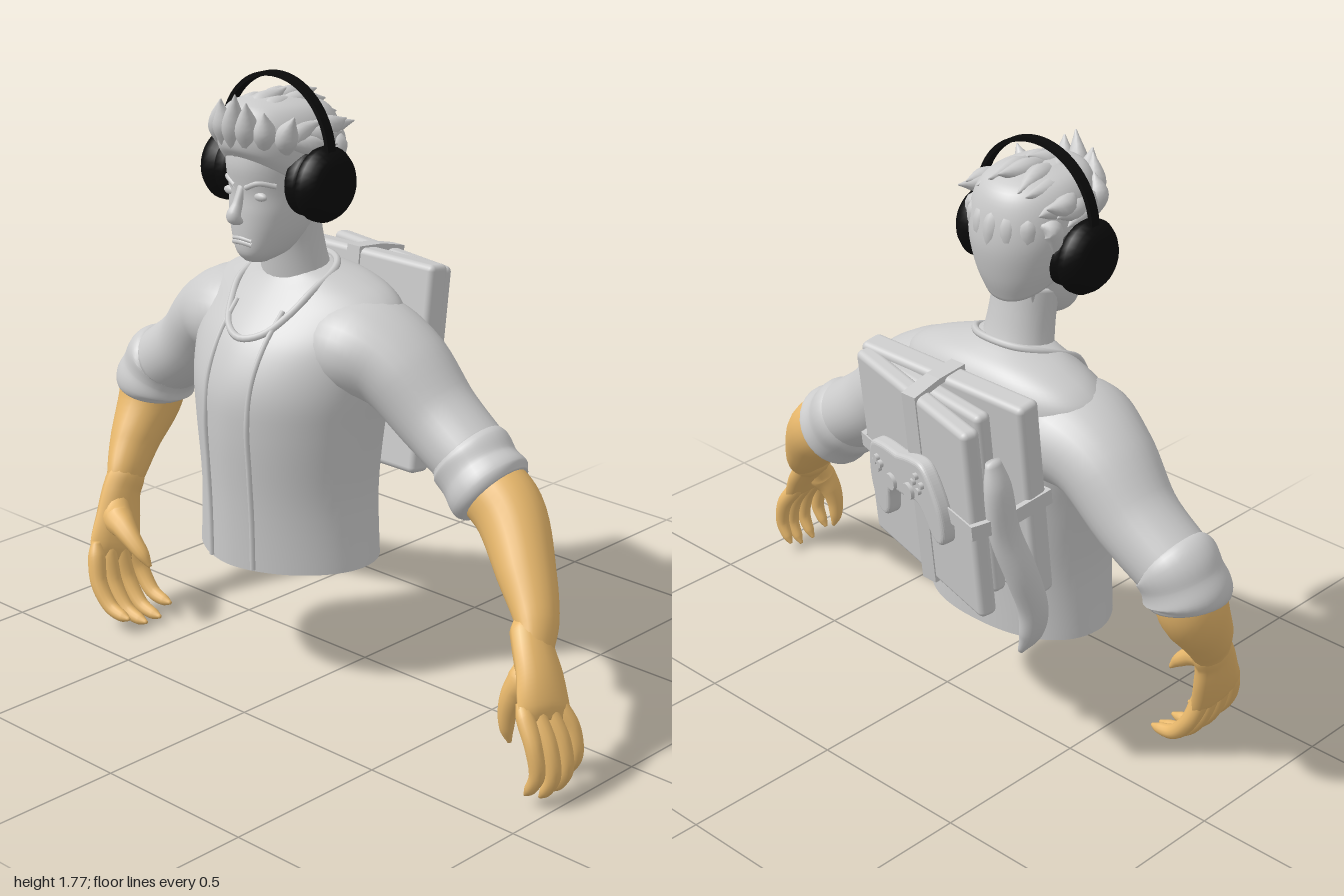
import * as THREE from 'three';
import { RoundedBoxGeometry } from 'three/addons/geometries/RoundedBoxGeometry.js';

const material = (color) => new THREE.MeshStandardMaterial({ color, side: THREE.DoubleSide });
const grey = material(0xcccccc), skin = material(0xe8b86c), black = material(0x0a0a0a);
const V = (x, y, z) => new THREE.Vector3(x, y, z);

function add(parent, name, geometry, mat = grey, x = 0, y = 0, z = 0) {
  const mesh = new THREE.Mesh(geometry, mat);
  mesh.name = name;
  mesh.position.set(x, y, z);
  parent.add(mesh);
  return mesh;
}

// Skin over rings of points that turn counter-clockwise about the direction of travel
function skinRings(rings) {
  const n = rings[0].length, index = [];
  for (let i = 0; i < rings.length - 1; i++) for (let j = 0; j < n; j++) {
    const a = i * n + j, b = i * n + (j + 1) % n;
    index.push(a, b, b + n, a, b + n, a + n);
  }
  const g = new THREE.BufferGeometry().setFromPoints(rings.flat());
  g.setIndex(index);
  g.computeVertexNormals();
  return g;
}

// Smooth limb through stations [x, y, z, radius across, radius along ref], closed at both ends
function limb(stations, ref = V(0, 0, 1), sides = 16, steps = 6) {
  const path = new THREE.CatmullRomCurve3(stations.map((s) => V(s[0], s[1], s[2])));
  const radii = new THREE.CatmullRomCurve3(stations.map((s) => V(s[3], s[4] ?? s[3], 0)), false, 'catmullrom');
  const total = (stations.length - 1) * steps, rings = [];
  const ring = (t, k) => {
    const c = path.getPoint(t), d = path.getTangent(t), r = radii.getPoint(t);
    const b = ref.clone().addScaledVector(d, -ref.dot(d)).normalize();
    const a = b.clone().cross(d);
    return Array.from({ length: sides }, (_, j) => {
      const u = j / sides * Math.PI * 2;
      return c.clone().addScaledVector(a, k * r.x * Math.cos(u)).addScaledVector(b, k * r.y * Math.sin(u));
    });
  };
  rings.push(ring(0, 0));
  for (let i = 0; i <= total; i++) rings.push(ring(i / total, 1));
  rings.push(ring(1, 0));
  return skinRings(rings);
}

// Upright form from rows [yFront, yBack, half width, zBack, zFront]; powers shape front and back halves
const bend = (v, p) => Math.sign(v) * Math.abs(v) ** p;
const middle = (zb, zf) => zb * 0.55 + zf * 0.45;
function rowAt(rows, k) {
  const i = Math.min(Math.floor(k), rows.length - 2), f = k - i;
  const p = rows[Math.max(i - 1, 0)], a = rows[i], b = rows[i + 1], q = rows[Math.min(i + 2, rows.length - 1)];
  return a.map((v, c) => v + 0.5 * f * (b[c] - p[c] + f * (2 * p[c] - 5 * v + 4 * b[c] - q[c] + f * (3 * (v - b[c]) + q[c] - p[c]))));
}
function upright(rows, front, back, closeBottom, sides = 64) {
  const rings = [], steps = 5, total = (rows.length - 1) * steps;
  const ring = (row, k) => {
    const [yf, yb, hw, zb, zf] = row, zm = middle(zb, zf);
    return Array.from({ length: sides }, (_, j) => {
      const u = j / sides * Math.PI * 2, power = j > sides / 2 ? front : back, s = -bend(Math.sin(u), power) * k;
      return V(hw * bend(Math.cos(u), power) * k, (yf + yb) / 2 + (yf - yb) / 2 * s, zm + s * (s > 0 ? zf - zm : zm - zb));
    });
  };
  if (closeBottom) rings.push(ring(rows[0], 0));
  for (let i = 0; i <= total; i++) rings.push(ring(rowAt(rows, i / steps), 1));
  rings.push(ring(rows[rows.length - 1], 0));
  return skinRings(rings);
}
// Depth of the front surface of such a form at x, y
function frontZ(rows, x, y, power) {
  let i = 0;
  while (i < rows.length - 2 && rows[i + 1][0] < y) i++;
  const [, , hw, zb, zf] = rowAt(rows, i + (y - rows[i][0]) / (rows[i + 1][0] - rows[i][0]));
  const zm = middle(zb, zf);
  return zm + (zf - zm) * Math.max(0, 1 - Math.abs(x / hw) ** (2 / power)) ** (power / 2);
}
const level = (y, ...rest) => [y, y, ...rest];
const tube = (points, r, closed = false) => new THREE.TubeGeometry(new THREE.CatmullRomCurve3(points, closed), 60, r, 8, closed);

const chestPower = 1.12, facePower = 0.9;
const torsoRows = [
  level(0.345, 0.297, -0.09, 0.36), level(0.55, 0.283, -0.1, 0.365), level(0.75, 0.302, -0.115, 0.375),
  level(0.88, 0.325, -0.13, 0.367), level(1.0, 0.345, -0.135, 0.315), level(1.09, 0.345, -0.13, 0.24),
  level(1.14, 0.3, -0.115, 0.195), level(1.175, 0.22, -0.09, 0.165), level(1.2, 0.13, -0.05, 0.15), level(1.212, 0.08, -0.02, 0.13),
];
const headRows = [
  level(1.238, 0.035, 0.2, 0.264), level(1.265, 0.068, 0.12, 0.286), level(1.32, 0.098, 0.06, 0.292),
  level(1.38, 0.114, 0.03, 0.293), level(1.44, 0.122, 0, 0.29), level(1.52, 0.128, -0.015, 0.3),
  level(1.6, 0.125, -0.01, 0.28), level(1.65, 0.08, 0.04, 0.23),
];
const hairRows = [
  [1.545, 1.33, 0.132, 0, 0.3], [1.57, 1.4, 0.152, -0.03, 0.318], [1.61, 1.5, 0.163, -0.05, 0.322],
  [1.65, 1.6, 0.152, -0.038, 0.31], [1.685, 1.66, 0.115, -0.005, 0.28], [1.7, 1.69, 0.05, 0.07, 0.21],
];

function buildTorso(body) {
  add(body, 'jacket', upright(torsoRows, chestPower, 0.88, false));
  const onChest = (x, y) => V(x, y, frontZ(torsoRows, x, y, chestPower) + 0.003);
  for (const s of [-1, 1]) {
    const ys = [0.35, 0.5, 0.65, 0.8, 0.92, 1.02, 1.1];
    add(body, 'jacketEdge', tube(ys.map((y) => onChest(s * (0.085 + 0.03 * Math.max(0, y - 0.85)), y)), 0.008));
  }
  // neckline loop lying on the chest
  const half = [[0.07, 1.04], [0.12, 1.1], [0.14, 1.15]].map(([x, y]) => onChest(x, y));
  half.push(V(0.125, 1.2, 0.04), V(0.06, 1.213, -0.015));
  const mirrored = half.map((p) => V(-p.x, p.y, p.z)).reverse();
  add(body, 'neckline', tube([onChest(0, 1.02), ...half, ...mirrored], 0.011, true));
}

function buildHead(body) {
  add(body, 'neck', limb([[0, 1.12, 0.06, 0.125, 0.1], [0, 1.2, 0.08, 0.108, 0.09], [0, 1.28, 0.095, 0.1, 0.086], [0, 1.36, 0.11, 0.1, 0.088]], undefined, 24));
  add(body, 'head', upright(headRows, facePower, facePower, true));
  add(body, 'nose', limb([[0, 1.46, 0.285, 0.012, 0.008], [0, 1.41, 0.302, 0.014, 0.015], [0, 1.377, 0.318, 0.022, 0.02], [0, 1.36, 0.302, 0.02, 0.012]]));
  const onFace = (x, y) => V(x, y, frontZ(headRows, x, y, facePower));
  for (const s of [-1, 1]) {
    const e = onFace(s * 0.058, 1.435);
    add(body, 'eye', new THREE.SphereGeometry(1, 16, 12), grey, e.x, e.y, e.z - 0.004).scale.set(0.026, 0.013, 0.012);
    add(body, 'eyebrow', tube([onFace(s * 0.022, 1.458), onFace(s * 0.06, 1.474), onFace(s * 0.095, 1.466)], 0.008));
  }
  for (const [y, r] of [[1.31, 0.006], [1.299, 0.008]])
    add(body, 'lip', tube([onFace(-0.036, y - 0.005), onFace(0, y), onFace(0.036, y - 0.005)], r));

  // hair cap with quiff rising from the forehead and swept locks
  add(body, 'hair', upright(hairRows, 0.95, 0.95, true));
  const lock = (a, b, c, r) => add(body, 'hairLock', limb([[...a, r * 0.2], [...b, r], [...c, 0.002]], V(1, 0, 0), 10, 5));
  for (let i = -3; i <= 3; i++) {
    const x = i * 0.042, drop = i * i * 0.008, w = 0.014 * Math.sin(i * 2.3 + 1), lean = 0.02 + w;
    lock([x - 0.01, 1.545, 0.295 - drop], [x * 1.05, 1.63 - drop / 3, 0.312 - drop], [x * 1.1 + lean, 1.715 - drop * 0.8 + w, 0.335 - drop * 1.2], 0.034);
    lock([x * 0.9, 1.65 - drop, 0.27 - drop], [x, 1.675 - drop, 0.2], [x * 1.1 + w, 1.7 - drop + w, 0.12], 0.036);
    lock([x * 0.8, 1.68 - drop, 0.2], [x, 1.68 - drop, 0.1], [x * 1.15 + w, 1.68 - drop + w, 0.0], 0.034);
    lock([x, 1.65 - drop, 0.02], [x * 1.1, 1.56, -0.022 + drop], [x * 1.15 + w, 1.45 - w, -0.03 + drop * 1.4], 0.032);
    if (Math.abs(i) < 3) lock([x, 1.53, 0], [x, 1.43, 0.002 + drop], [x * 0.9 - w, 1.34 - w, 0.012 + drop], 0.026);
  }
  for (const s of [-1, 1]) for (let i = 0; i < 3; i++)
    lock([s * 0.12, 1.6 + i * 0.02, 0.26 - i * 0.05], [s * 0.148, 1.58 + i * 0.02, 0.17 - i * 0.04], [s * (0.172 - i * 0.012), 1.57 + i * 0.03, 0.08 - i * 0.03], 0.03);
}

function buildHeadphones(body) {
  const phones = new THREE.Group();
  phones.name = 'headphones';
  body.add(phones);
  const profile = [[0, 0.112], [0.08, 0.112], [0.098, 0.125], [0.098, 0.155], [0.09, 0.165], [0.107, 0.175], [0.107, 0.195], [0.095, 0.215], [0.08, 0.23], [0.06, 0.238], [0, 0.238]];
  for (const s of [-1, 1]) {
    const cup = add(phones, 'earCup', new THREE.LatheGeometry(profile.map((p) => new THREE.Vector2(...p)), 32), black, 0, 1.47, 0.145);
    cup.rotation.z = -s * Math.PI / 2;
  }
  const arc = new THREE.Shape();
  arc.absarc(0, 0, 0.215, 0, Math.PI, false);
  arc.absarc(0, 0, 0.202, Math.PI, 0, true);
  add(phones, 'headband', new THREE.ExtrudeGeometry(arc, { depth: 0.03, bevelEnabled: false, curveSegments: 32 }), black, 0, 1.545, 0.13);
}

// Curled hand hanging from the wrist; s = 1 curls toward +x
function buildHand(s) {
  const hand = new THREE.Group();
  hand.name = 'hand';
  const part = (name, st) => add(hand, name, limb(st.map(([x, ...r]) => [s * x, ...r]), undefined, 12), skin);
  part('palm', [[-0.01, 0.1, -0.055, 0.02, 0.03], [-0.005, 0.05, -0.03, 0.047, 0.063], [0, 0, 0, 0.045, 0.069], [0.015, -0.08, 0.03, 0.042, 0.083], [0.038, -0.16, 0.065, 0.034, 0.097], [0.05, -0.195, 0.075, 0.016, 0.085]]);
  for (let k = 0; k < 4; k++) {
    const d = (k - 1.5) * 0.047, z = 0.075 + d, w = z + d * 0.2, len = k === 1 || k === 2 ? 1.02 : 0.95;
    part('finger', [[0.032, -0.12, z - 0.01, 0.015], [0.044, -0.165, z, 0.027], [0.072 * len, -0.255 * len, w, 0.026], [0.128 * len, -0.322 * len, w, 0.023], [0.185 * len, -0.337 * len, w, 0.017], [0.215 * len, -0.338 * len, w, 0.005]]);
  }
  part('thumb', [[0.005, -0.01, 0.02, 0.03], [0.042, -0.06, 0.055, 0.048], [0.095, -0.075, 0.075, 0.038], [0.145, -0.1, 0.085, 0.029], [0.19, -0.135, 0.085, 0.021], [0.217, -0.168, 0.08, 0.006]]);
  return hand;
}

function buildArms(model) {
  for (const s of [-1, 1])
    add(model, 'sleeve', limb([[0.12, 0.99, 0.06, 0.12, 0.16], [0.24, 0.995, 0.05, 0.147, 0.185], [0.36, 0.96, 0.033, 0.132, 0.155], [0.5, 0.835, 0.018, 0.117, 0.125], [0.64, 0.74, 0.02, 0.108, 0.115]]
      .map(([x, ...r]) => [s * x - 0.2, ...r]), undefined, 28));
  const cuff = (st) => add(model, 'rolledCuff', limb(st, undefined, 28));
  cuff([[-0.815, 0.765, 0.02, 0.092, 0.108], [-0.835, 0.75, 0.02, 0.12, 0.122], [-0.858, 0.71, 0.025, 0.12, 0.118], [-0.875, 0.67, 0.03, 0.125, 0.124], [-0.88, 0.645, 0.03, 0.108, 0.112]]);
  cuff([[0.4, 0.765, 0.02, 0.105, 0.112], [0.425, 0.745, 0.02, 0.122, 0.122], [0.465, 0.71, 0.025, 0.119, 0.118], [0.505, 0.68, 0.03, 0.126, 0.126], [0.525, 0.665, 0.03, 0.11, 0.112]]);
  const forearm = (st) => add(model, 'forearm', limb(st, undefined, 24), skin);
  forearm([[-0.87, 0.72, 0.03, 0.1, 0.102], [-0.883, 0.62, 0.045, 0.1, 0.1], [-0.872, 0.5, 0.125, 0.075, 0.08], [-0.848, 0.41, 0.188, 0.05, 0.065], [-0.84, 0.34, 0.225, 0.03, 0.05]]);
  forearm([[0.48, 0.7, 0.03, 0.1, 0.1], [0.58, 0.635, 0.04, 0.1, 0.1], [0.7, 0.51, 0.105, 0.08, 0.085], [0.79, 0.41, 0.165, 0.053, 0.066], [0.83, 0.35, 0.21, 0.03, 0.05]]);
  const right = buildHand(1), left = buildHand(-1);
  right.position.set(-0.84, 0.36, 0.215);
  left.position.set(0.815, 0.36, 0.21);
  left.rotation.z = 0.87;
  left.scale.setScalar(0.94);
  model.add(right, left);
}

// Flat band around a bundle, drawn as an outline with a slightly smaller hole
function band(points, width) {
  const shape = new THREE.Shape(points.map((p) => new THREE.Vector2(...p)));
  const cx = points.reduce((t, p) => t + p[0], 0) / points.length, cy = points.reduce((t, p) => t + p[1], 0) / points.length;
  shape.holes.push(new THREE.Path(points.map(([x, y]) => new THREE.Vector2(cx + (x - cx) * 0.94, cy + (y - cy) * 0.94))));
  return new THREE.ExtrudeGeometry(shape, { depth: width, bevelEnabled: false }).translate(0, 0, -width / 2);
}

function buildBackpack(model) {
  const pack = new THREE.Group();
  pack.name = 'backpack';
  pack.position.set(-0.2, 0.885, -0.13);
  pack.rotation.x = -0.13;
  model.add(pack);
  const slab = (name, w, h, d, x, z, yaw) => {
    const mesh = add(pack, name, new RoundedBoxGeometry(w, h, d, 3, 0.018), grey, x, 0, z);
    mesh.rotation.y = yaw;
    return mesh;
  };
  slab('innerCase', 0.61, 0.62, 0.075, 0, -0.036, 0);
  slab('middleCase', 0.5, 0.58, 0.05, 0.03, -0.09, -0.13);
  const outer = slab('outerCase', 0.57, 0.6, 0.055, 0.015, -0.145, -0.25);
  add(pack, 'verticalStrap', band([[0.008, -0.315], [0.008, 0.315], [-0.09, 0.318], [-0.188, 0.306], [-0.188, -0.306], [-0.09, -0.318]], 0.05)).rotation.y = -Math.PI / 2;
  add(pack, 'sideStrap', band([[-0.315, -0.008], [0.315, -0.008], [0.315, 0.1], [0, 0.188], [-0.265, 0.255], [-0.3, 0.17]], 0.045)).rotation.x = -Math.PI / 2;

  // game controller strapped to the outside
  const half = [[0.07, 0.062], [0.115, 0.05], [0.145, -0.03], [0.14, -0.1], [0.11, -0.105], [0.07, -0.035]];
  const outline = new THREE.Shape();
  outline.moveTo(0, 0.055);
  outline.splineThru([...half, [0, -0.03], ...half.map(([x, y]) => [-x, y]).reverse(), [0, 0.055]].map((p) => new THREE.Vector2(...p)));
  const pad = new THREE.Group();
  pad.name = 'controller';
  pad.position.set(0.02, 0.02, -0.035);
  pad.rotation.set(0, Math.PI, 0.2);
  pad.scale.set(1.25, 1.25, 1);
  outer.add(pad);
  add(pad, 'controllerBody', new THREE.ExtrudeGeometry(outline, { depth: 0.022, bevelSize: 0.01, bevelThickness: 0.012, bevelSegments: 4 }));
  const knob = (x, y, r) => { add(pad, 'button', new THREE.CylinderGeometry(r, r, 0.016, 16), grey, x, y, 0.037).rotation.x = Math.PI / 2; };
  knob(-0.04, -0.012, 0.02);
  knob(0.04, -0.012, 0.02);
  for (const [x, y] of [[1, 0], [-1, 0], [0, 1], [0, -1]]) {
    knob(0.09 + x * 0.018, 0.02 + y * 0.018, 0.008);
    knob(-0.09 + x * 0.012, 0.02 + y * 0.012, 0.009);
  }

  // soft bundle tucked between the cases on the right side, with a loose end
  add(model, 'hangingBundle', limb([[-0.46, 1.04, -0.3, 0.015, 0.025], [-0.475, 0.96, -0.295, 0.032, 0.045], [-0.485, 0.82, -0.275, 0.034, 0.05], [-0.51, 0.69, -0.235, 0.04, 0.05], [-0.515, 0.56, -0.19, 0.04, 0.045], [-0.5, 0.47, -0.18, 0.03, 0.04], [-0.475, 0.405, -0.195, 0.008]]));
}

export function createModel() {
  const model = new THREE.Group();
  model.name = 'bust';
  const body = new THREE.Group();
  body.name = 'body';
  body.position.x = -0.2;
  model.add(body);
  buildTorso(body);
  buildHead(body);
  buildHeadphones(body);
  buildArms(model);
  buildBackpack(model);
  return model;
}
